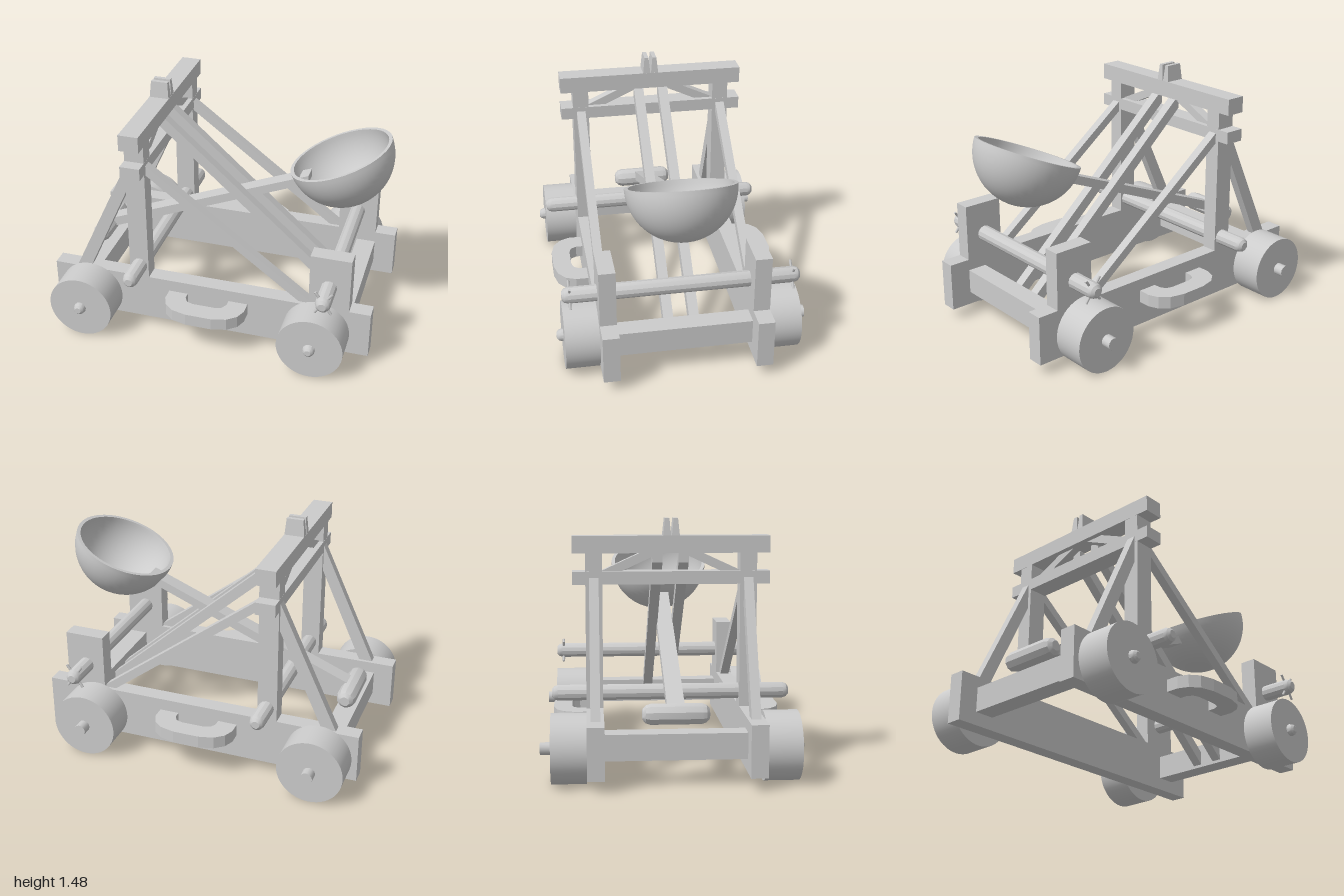
import * as THREE from 'three';
import { toCreasedNormals } from 'three/addons/utils/BufferGeometryUtils.js';

const mat = new THREE.MeshStandardMaterial({ color: 0xcccccc, side: THREE.DoubleSide });

export function createModel() {
  const model = new THREE.Group();
  model.position.z = 0.012;

  const add = (name, geo, x = 0, y = 0, z = 0) => {
    const mesh = new THREE.Mesh(geo, mat);
    mesh.name = name;
    mesh.position.set(x, y, z);
    model.add(mesh);
    return mesh;
  };
  // Box given by its limits on each axis
  const box = (name, x0, x1, y0, y1, z0, z1) =>
    add(name, new THREE.BoxGeometry(x1 - x0, y1 - y0, z1 - z0), (x0 + x1) / 2, (y0 + y1) / 2, (z0 + z1) / 2);
  // Plank with a side profile in x and y, centred on z
  const plank = (pts, width) =>
    new THREE.ExtrudeGeometry(new THREE.Shape(pts.map(p => new THREE.Vector2(...p))), { depth: width, bevelEnabled: false })
      .translate(0, 0, -width / 2);
  // Round pole along z with rounded ends
  const pole = (name, r, half, x, y, z, sides = 12) => {
    const c = r * 0.3;
    const pts = [[0, -half], [r * 0.5, -half], [r * 0.85, -half + c], [r, -half + c * 2.5],
      [r, half - c * 2.5], [r * 0.85, half - c], [r * 0.5, half], [0, half]].map(p => new THREE.Vector2(...p));
    const geo = new THREE.LatheGeometry(pts, sides).rotateX(Math.PI / 2);
    return add(name, toCreasedNormals(geo, 0.5), x, y, z);
  };

  // Frame, wheels, braces and handles on both sides
  for (const s of [1, -1]) {
    const side = s > 0 ? 'front' : 'back';
    const z0 = Math.min(s * 0.4, s * 0.498), z1 = Math.max(s * 0.4, s * 0.498);
    box(side + 'Rail', -1, 1, 0.07, 0.37, z0, z1);
    box(side + 'Post', -0.5, -0.38, 0.37, 1.28, z0, z1);
    box(side + 'WinchPlate', 0.625, 0.87, 0.37, 0.72, z0, z1);
    add(side + 'LongBrace', plank([[-0.4, 1.159], [-0.4, 1.094], [0.56, 0.37], [0.646, 0.37]], 0.055), 0, 0, s * 0.449);
    add(side + 'ShortBrace', plank([[-0.48, 1.18], [-0.857, 0.37], [-0.77, 0.37], [-0.48, 1.01]], 0.055), 0, 0, s * 0.449);

    for (const x of [-0.765, 0.68]) {
      const wheel = new THREE.CylinderGeometry(0.2, 0.2, 0.2, 48).rotateX(Math.PI / 2);
      add(side + 'Wheel', wheel, x, 0.2, s * 0.598);
      if (s > 0) pole('frontAxleEnd', 0.037, 0.12, x, 0.2, 0.616);
      else add('backAxleEnd', toCreasedNormals(new THREE.CylinderGeometry(0.037, 0.037, 0.26, 12).rotateX(Math.PI / 2), 0.6), x, 0.2, -0.63);
    }

    // Curved carrying handle
    const handle = new THREE.Shape();
    const outer = [[-0.25, 0.49], [-0.25, 0.575], [-0.225, 0.635], [-0.17, 0.68], [-0.08, 0.702]];
    const inner = [[-0.13, 0.49], [-0.13, 0.54], [-0.11, 0.575], [-0.07, 0.588]];
    const flip = a => a.map(([x, y]) => [-x, y]).reverse();
    const outline = [...outer, ...flip(outer), ...flip(inner).reverse(), ...inner.slice().reverse()];
    handle.setFromPoints(outline.map(p => new THREE.Vector2(p[0], p[1] * s)));
    const hg = new THREE.ExtrudeGeometry(handle, { depth: 0.075, bevelEnabled: false }).rotateX(Math.PI / 2);
    add(side + 'Handle', hg, 0, 0.295, 0);

    // Crossed pins at the end of the winch pole
    for (const a of [0.62, -0.62]) {
      const pin = add(side + 'WinchPin', new THREE.CylinderGeometry(0.008, 0.008, 0.17, 6), 0.743, 0.518, s * 0.655);
      pin.rotation.z = a;
    }

    // Central brace running down to the end beam
    add(side + 'CentreBrace', plank([[-0.42, 1.3], [-0.42, 1.215], [0.77, 0.15], [0.77, 0.236]], 0.06), 0, 0, s * 0.077);

    // Knee brace between the two top beams
    const knee = plank([[s * 0.42, 1.165], [s * 0.17, 1.28], [s * 0.05, 1.28], [s * 0.33, 1.15]], 0.06).rotateY(-Math.PI / 2);
    add(side + 'KneeBrace', knee, -0.44, 0, 0);

    // Tapered peg on top
    const peg = new THREE.BoxGeometry(0.12, 0.1, 0.046);
    const p = peg.attributes.position;
    for (let i = 0; i < p.count; i++) {
      if (p.getY(i) > 0) p.setXYZ(i, p.getX(i) * 0.86, p.getY(i), p.getZ(i) * 0.55);
    }
    peg.computeVertexNormals();
    add(side + 'TopPeg', peg, -0.44, 1.425, s * 0.025);
  }

  // Cross beams
  box('leftEndBeam', 0.75, 0.87, 0.15, 0.3, -0.41, 0.41);
  box('rightEndBeam', -0.88, -0.757, 0.15, 0.3, -0.41, 0.41);
  box('topBeam', -0.501, -0.379, 1.275, 1.375, -0.574, 0.574);
  box('lowerTopBeam', -0.501, -0.379, 1.095, 1.17, -0.574, 0.574);

  // Poles
  pole('crossPole', 0.047, 0.7, -0.435, 0.452, 0);
  pole('winchPole', 0.048, 0.7, 0.743, 0.518, 0);
  pole('armRoller', 0.06, 0.188, -0.83, 0.402, 0, 10);

  // Throwing arm
  add('throwingArm', plank([[-0.83, 0.38], [0.5, 0.93], [0.5, 0.985], [-0.83, 0.445]], 0.1));

  // Bowl: outer and inner hemisphere joined by a rim
  const profile = [];
  const n = 20;
  for (let i = 0; i <= n; i++) {
    const a = (i / n) * Math.PI / 2;
    profile.push(new THREE.Vector2(0.32 * Math.sin(a), -0.32 * Math.cos(a)));
  }
  for (let i = n; i >= 0; i--) {
    const a = (i / n) * Math.PI / 2;
    profile.push(new THREE.Vector2(0.298 * Math.sin(a), -0.298 * Math.cos(a)));
  }
  const bowl = add('bowl', toCreasedNormals(new THREE.LatheGeometry(profile, 40), 0.7), 0.68, 1.138, 0);
  bowl.rotation.z = 0.394;

  return model;
}
